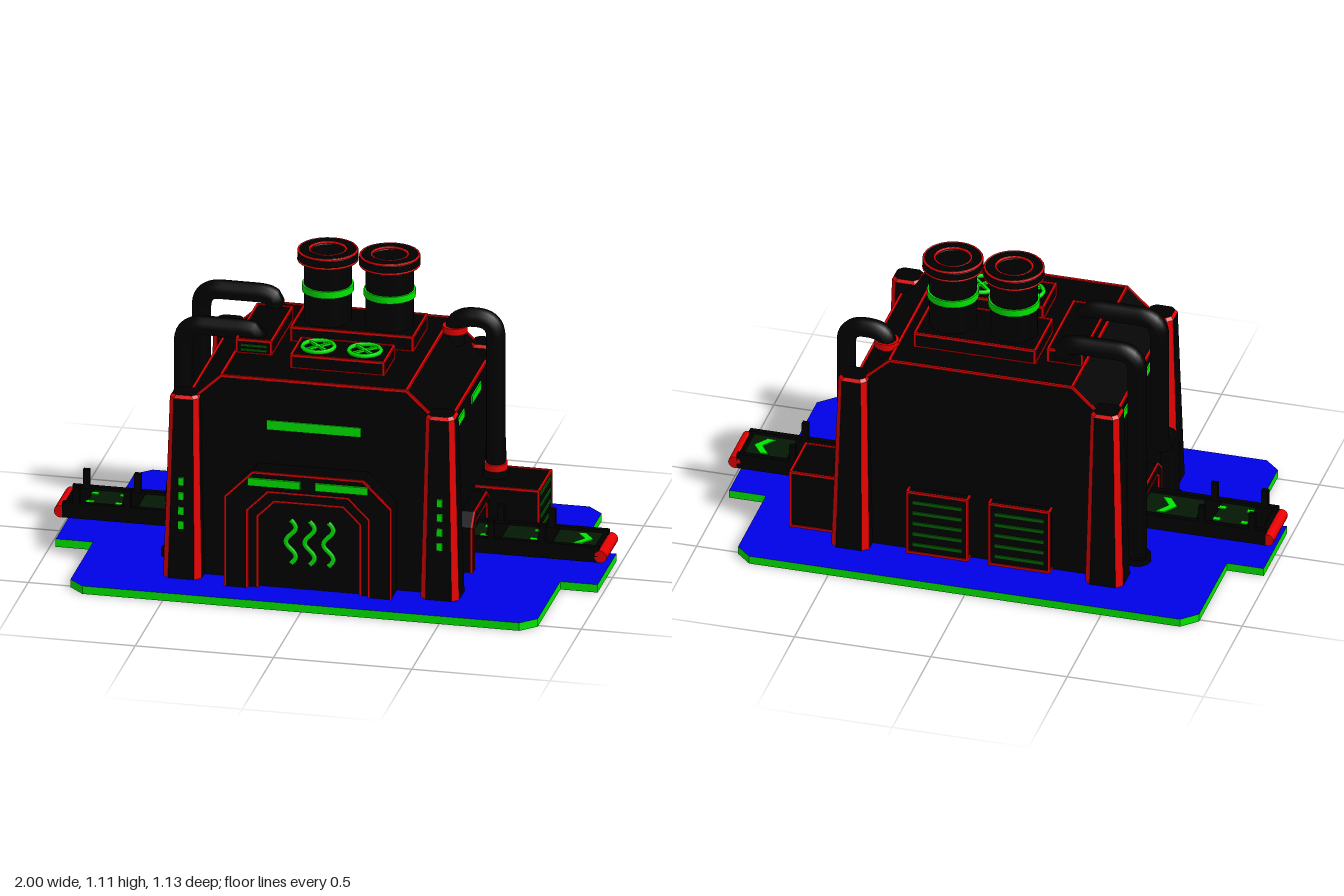
import * as THREE from 'three';

const mat = (name, color) => {
  const m = new THREE.MeshStandardMaterial({ color });
  m.name = name;
  return m;
};

export function createModel() {
  const root = new THREE.Group();
  root.name = 'factory';
  const black = mat('black hull', 0x000000), red = mat('red trim', 0xff0000), green = mat('green light', 0x00ff00);
  const blue = mat('blue floor', 0x0000ff), dim = mat('dim green slat', 0x006000), belt = mat('dark green belt', 0x041804);

  const add = (name, geo, m, x = 0, y = 0, z = 0) => {
    const o = new THREE.Mesh(geo, m);
    o.name = name;
    o.position.set(x, y, z);
    root.add(o);
    return o;
  };
  // Box given by its min and max on each axis
  const box = (name, m, x0, x1, y0, y1, z0, z1) =>
    add(name, new THREE.BoxGeometry(x1 - x0, y1 - y0, z1 - z0), m, (x0 + x1) / 2, (y0 + y1) / 2, (z0 + z1) / 2);
  // Thin red bars along a run of points
  const line = (name, pts, w = 0.009) => {
    for (let i = 1; i < pts.length; i++) {
      const a = new THREE.Vector3(...pts[i - 1]), b = new THREE.Vector3(...pts[i]);
      const o = add(name, new THREE.BoxGeometry(w, w, a.distanceTo(b) + w * 0.6), red);
      o.position.copy(a).add(b).multiplyScalar(0.5);
      o.lookAt(b);
    }
  };
  // Black box with red edges
  const trimBox = (name, x0, x1, y0, y1, z0, z1, w = 0.008) => {
    box(name, black, x0, x1, y0, y1, z0, z1);
    for (const y of [y0 + w / 2, y1])
      line(name + 'Trim', [[x0, y, z0], [x1, y, z0], [x1, y, z1], [x0, y, z1], [x0, y, z0]], w);
    for (const x of [x0, x1]) for (const z of [z0, z1]) line(name + 'Trim', [[x, y0, z], [x, y1, z]], w);
  };
  const shape = pts => new THREE.Shape(pts.map(p => new THREE.Vector2(...p)));
  const extrude = (s, depth) => new THREE.ExtrudeGeometry(s, { depth, bevelEnabled: false, curveSegments: 8 });

  // Base plate with chamfered corners and side tabs
  const half = [[0.845, 0.15], [0.845, 0.51], [0.79, 0.563], [-0.79, 0.563], [-0.845, 0.51], [-0.845, 0.15], [-0.98, 0.15]];
  const plate = shape([[0.98, 0.15], ...half, ...[[0.98, 0.15], ...half].map(([x, z]) => [-x, -z])]);
  add('baseUnderside', extrude(plate, 0.004).rotateX(-Math.PI / 2), [black, green]);
  add('basePlate', extrude(plate, 0.026).rotateX(-Math.PI / 2), [blue, green], 0, 0.004);

  // Main hall with sloped shoulders
  const hall = [[-0.475, 0.03], [0.475, 0.03], [0.475, 0.66], [0.335, 0.79], [-0.335, 0.79], [-0.475, 0.66]];
  add('hall', extrude(shape(hall), 0.71), black, 0, 0, -0.355);
  for (const z of [-0.355, 0.355]) line('hallTrim', hall.slice(2).map(([x, y]) => [x, y, z]));
  for (const [x, y] of hall.slice(2)) line('hallTrim', [[x, y, -0.355], [x, y, 0.355]]);
  box('frontLight', green, -0.17, 0.17, 0.6, 0.635, 0.352, 0.36);
  for (const s of [-1, 1]) for (const [a, b] of [[0.06, 0.245], [-0.205, -0.055]])
    add('sideLight', new THREE.BoxGeometry(0.009, 0.03, b - a), green, s * 0.476, 0.605, (a + b) / 2);

  // Tapered corner pillars, chamfered edges in red
  const ring = (x0, x1, z0, z1, y, c) => [[x0 + c, z1], [x1 - c, z1], [x1, z1 - c], [x1, z0 + c],
    [x1 - c, z0], [x0 + c, z0], [x0, z0 + c], [x0, z1 - c]].map(([x, z]) => [x, y, z]);
  const faces = (name, tris, m) => {
    const g = new THREE.BufferGeometry();
    g.setAttribute('position', new THREE.Float32BufferAttribute(tris.flat(), 3));
    g.computeVertexNormals();
    add(name, g, m);
  };
  const span = (s, a, b) => (s > 0 ? [a, b] : [-b, -a]);
  for (const sx of [-1, 1]) for (const sz of [-1, 1]) {
    const rings = [
      ring(...span(sx, 0.396, 0.535), ...span(sz, 0.29, 0.42), 0.03, 0.022),
      ring(...span(sx, 0.41, 0.515), ...span(sz, 0.3, 0.397), 0.705, 0.018),
      ring(...span(sx, 0.418, 0.507), ...span(sz, 0.308, 0.389), 0.716, 0.016)];
    const dark = [], bright = [], top = rings[2];
    for (let r = 0; r < 2; r++) for (let i = 0; i < 8; i++) {
      const j = (i + 1) % 8, [p, q] = [rings[r], rings[r + 1]];
      (r === 1 || i % 2 ? bright : dark).push(p[i], p[j], q[j], p[i], q[j], q[i]);
    }
    for (let i = 1; i < 7; i++) dark.push(top[0], top[i], top[i + 1]);
    faces('pillar', dark, black);
    faces('pillarEdges', bright, red);
    if (sz > 0) for (const y of [0.232, 0.286, 0.341, 0.396])
      box('pillarLight', green, sx * 0.468 - 0.01, sx * 0.468 + 0.01, y - 0.014, y + 0.014, 0.407, 0.416);
  }

  // Front gateway: stepped frames, door, lights and heat marks
  const arch = (w, h, c) => [[-w, 0.03], [-w, h - c], [-w + c, h], [w - c, h], [w, h - c], [w, 0.03]];
  const frame = (outer, inner, depth) => {
    const s = shape(outer);
    if (inner) s.holes.push(new THREE.Path(inner.map(p => new THREE.Vector2(...p))));
    return extrude(s, depth);
  };
  const a0 = arch(0.3, 0.47, 0.1), a1 = arch(0.22, 0.4, 0.075), a2 = arch(0.185, 0.36, 0.06);
  add('gateFrame', frame(a0, a1, 0.1), black, 0, 0, 0.35);
  add('gateInnerFrame', frame(a1, a2, 0.085), black, 0, 0, 0.35);
  add('gateDoor', frame(a2, null, 0.07), black, 0, 0, 0.35);
  for (const [a, z] of [[a0, 0.447], [a1, 0.447], [a2, 0.433]]) line('gateTrim', a.map(([x, y]) => [x, y, z]), 0.007);
  for (const s of [-1, 1]) box('gateLight', green, s * 0.122 - 0.095, s * 0.122 + 0.095, 0.422, 0.45, 0.45, 0.459);
  for (const x of [-0.068, 0, 0.068]) {
    const pts = Array.from({ length: 13 }, (_, i) => new THREE.Vector3(0.018 * Math.sin(i * Math.PI / 4), 0.125 + i * 0.0138, 0));
    const g = new THREE.TubeGeometry(new THREE.CatmullRomCurve3(pts), 36, 0.009, 6).scale(1, 1, 0.4);
    add('heatMark', g, green, x, 0, 0.422);
  }

  // Rear and side vents with slats
  for (const s of [-1, 1]) {
    const [x0, x1] = span(s, 0.04, 0.26);
    trimBox('rearVent', x0, x1, 0.03, 0.28, -0.385, -0.35);
    for (let i = 0; i < 5; i++) box('rearSlat', dim, x0 + 0.02, x1 - 0.02, 0.062 + i * 0.043, 0.074 + i * 0.043, -0.389, -0.38);
  }
  trimBox('sideUnit', 0.47, 0.705, 0.03, 0.253, -0.325, -0.125);
  for (let i = 0; i < 5; i++) box('sideSlat', dim, 0.702, 0.71, 0.056 + i * 0.043, 0.066 + i * 0.043, -0.307, -0.142);

  // Tunnel arches and conveyors on both sides
  const t0 = arch(0.14, 0.245, 0.045), t1 = arch(0.105, 0.21, 0.025);
  const chevron = shape([[0, 0], [0.035, 0.05], [0.065, 0.05], [0.03, 0], [0.065, -0.05], [0.035, -0.05]]);
  for (const s of [-1, 1]) {
    add('tunnel', frame(t0, t1, 0.07).rotateY(Math.PI / 2), black, s > 0 ? 0.455 : -0.525);
    for (const t of [t0, t1]) line('tunnelTrim', t.map(([u, y]) => [s * 0.523, y, u]), 0.007);
    const [x0, x1] = span(s, 0.47, 0.97);
    box('conveyorBed', black, x0, x1, 0.09, 0.133, -0.085, 0.085);
    for (const z of [-0.082, 0.082]) box('conveyorRail', black, x0, x1, 0.09, 0.148, z - 0.01, z + 0.01);
    box('conveyorBelt', belt, ...span(s, 0.5, 0.95), 0.13, 0.137, -0.072, 0.072);
    add('endRoller', new THREE.CylinderGeometry(0.023, 0.023, 0.184, 12).rotateX(Math.PI / 2), red, s * 0.977, 0.112);
    for (const x of s > 0 ? [0.58, 0.765] : [-0.92, -0.735]) {
      box('beltBand', black, x - 0.03, x + 0.03, 0.132, 0.14, -0.072, 0.072);
      for (const z of [-0.082, 0.082]) box('conveyorPost', black, x - 0.012, x + 0.012, 0.14, 0.21, z - 0.01, z + 0.01);
    }
    const mark = extrude(chevron, 0.004).rotateX(-Math.PI / 2);
    if (s > 0) mark.rotateY(Math.PI);
    add('beltArrow', mark, green, s > 0 ? 0.93 : -0.62, 0.137);
    for (const x of s > 0 ? [0.725, 0.545] : [-0.88, -0.775]) for (const z of [-0.04, 0.04])
      box('beltMark', green, x - 0.014, x + 0.014, 0.134, 0.14, z - 0.01, z + 0.01);
  }

  // Roof blocks
  trimBox('chimneyPlinth', -0.165, 0.275, 0.785, 0.843, -0.235, -0.015);
  trimBox('fanPlinth', -0.11, 0.225, 0.785, 0.838, 0.065, 0.23);
  trimBox('roofVent', -0.33, -0.205, 0.785, 0.84, -0.205, 0.13);
  for (const y of [0.803, 0.82]) box('roofSlat', dim, -0.315, -0.22, y - 0.004, y + 0.004, 0.127, 0.135);

  // Chimneys with hollow caps and green bands
  const profile = [[0.085, 0.84], [0.085, 1.07], [0.1, 1.07], [0.108, 1.078], [0.108, 1.102], [0.1, 1.11],
    [0.068, 1.11], [0.062, 1.1], [0.062, 0.98], [0, 0.98]].map(p => new THREE.Vector2(...p));
  const stackGeo = new THREE.LatheGeometry(profile, 24).toNonIndexed();
  stackGeo.computeVertexNormals();
  for (const x of [-0.057, 0.167]) {
    add('chimney', stackGeo, black, x, 0, -0.122);
    add('chimneyBand', new THREE.CylinderGeometry(0.092, 0.092, 0.026, 24), green, x, 0.967, -0.122);
    for (const [r, y] of [[0.105, 1.073], [0.104, 1.106], [0.065, 1.107]])
      add('capTrim', new THREE.TorusGeometry(r, 0.0045, 6, 24).rotateX(Math.PI / 2), red, x, y, -0.122);
  }

  // Roof fans: green ring with crossed blades
  for (const x of [-0.03, 0.138]) {
    add('fanRing', new THREE.TorusGeometry(0.057, 0.008, 6, 24).rotateX(Math.PI / 2), green, x, 0.846, 0.147);
    for (const a of [1, -1])
      add('fanBlade', new THREE.BoxGeometry(0.112, 0.009, 0.011).rotateY(a * Math.PI / 4), green, x, 0.846, 0.147);
  }

  // Pipes: straight runs with rounded elbows
  const pipe = (pts, r = 0.035, bend = 0.07) => {
    const v = pts.map(p => new THREE.Vector3(...p)), path = new THREE.CurvePath();
    let from = v[0];
    for (let i = 1; i < v.length - 1; i++) {
      const toward = p => v[i].clone().add(p.clone().sub(v[i]).setLength(Math.min(bend, p.distanceTo(v[i]) * 0.49)));
      const a = toward(v[i - 1]), b = toward(v[i + 1]);
      path.add(new THREE.LineCurve3(from, a));
      path.add(new THREE.QuadraticBezierCurve3(a, v[i], b));
      from = b;
    }
    path.add(new THREE.LineCurve3(from, v[v.length - 1]));
    add('pipe', new THREE.TubeGeometry(path, 80, r, 12), black);
  };
  const collar = (m, x, y, z, r = 0.045) => add('pipeCollar', new THREE.CylinderGeometry(r, r, 0.025, 12), m, x, y, z);
  pipe([[-0.27, 0.83, -0.215], [-0.27, 0.882, -0.215], [-0.535, 0.882, -0.215], [-0.535, 0.03, -0.215]]);
  pipe([[-0.27, 0.83, 0.072], [-0.27, 0.858, 0.072], [-0.535, 0.858, 0.072], [-0.535, 0.32, 0.072],
    [-0.535, 0.32, 0.205], [-0.535, 0.03, 0.205]]);
  for (const z of [-0.215, 0.205]) collar(black, -0.535, 0.045, z, 0.05);
  pipe([[0.375, 0.74, -0.245], [0.375, 0.845, -0.245], [0.523, 0.845, -0.245], [0.523, 0.25, -0.245]]);
  collar(red, 0.375, 0.797, -0.245);
  collar(black, 0.523, 0.265, -0.245, 0.048);
  collar(red, 0.523, 0.29, -0.245, 0.042);

  return root;
}
